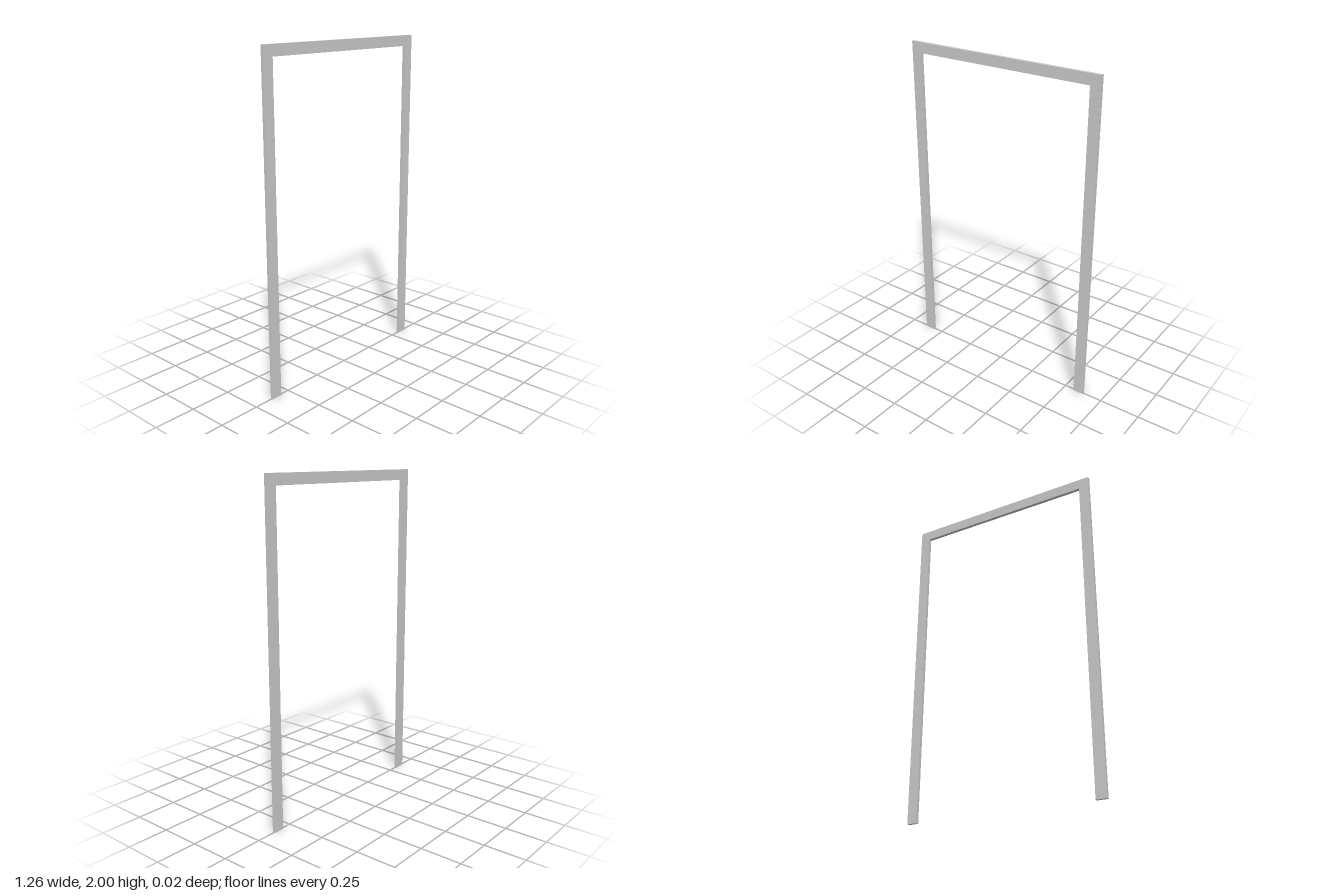
import * as THREE from 'three';

export function createModel() {
  const group = new THREE.Group();
  group.name = 'doorFrame';

  const halfWidth = 0.628, height = 2, border = 0.064, depth = 0.02;
  const inner = halfWidth - border, innerTop = height - border;

  // Two jambs and a lintel as one continuous outline, open at the floor
  const outline = new THREE.Shape([
    [-halfWidth, 0], [-inner, 0], [-inner, innerTop], [inner, innerTop],
    [inner, 0], [halfWidth, 0], [halfWidth, height], [-halfWidth, height],
  ].map(([x, y]) => new THREE.Vector2(x, y)));

  const geometry = new THREE.ExtrudeGeometry(outline, { depth, bevelEnabled: false });
  geometry.translate(0, 0, -depth / 2);

  const trim = new THREE.Mesh(geometry, new THREE.MeshStandardMaterial({ color: 0xcccccc }));
  trim.name = 'frameTrim';
  group.add(trim);
  return group;
}
